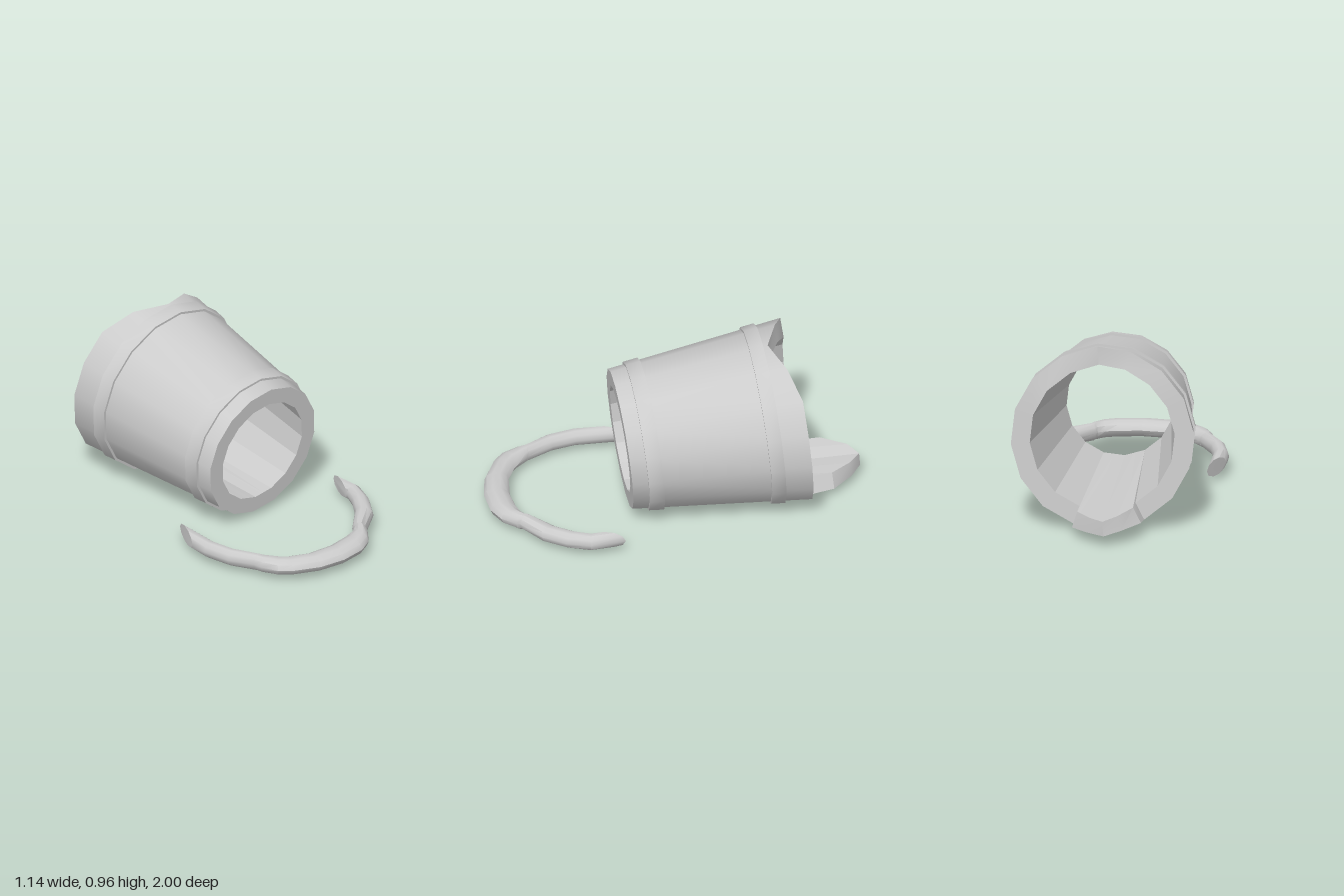
import * as THREE from 'three';
import { toCreasedNormals } from 'three/addons/utils/BufferGeometryUtils.js';

const material = new THREE.MeshStandardMaterial({ color: 0xcccccc });
const V = (x, y, z) => new THREE.Vector3(x, y, z);
const rad = THREE.MathUtils.degToRad;

// Skins a list of cross-sections; `around` closes the list, `tube` closes each section and caps the ends.
function loft(sections, { around = false, tube = false, crease = 32 }) {
  const pos = [];
  const tri = (...pts) => pts.forEach((p) => pos.push(p.x, p.y, p.z));
  const n = sections.length, m = sections[0].length;
  for (let i = 0; i < (around ? n : n - 1); i++) {
    const a = sections[i], b = sections[(i + 1) % n];
    for (let j = 0; j < (tube ? m : m - 1); j++) {
      const k = (j + 1) % m;
      tri(a[j], b[j], b[k]);
      tri(a[j], b[k], a[k]);
    }
  }
  if (tube) {
    const s = sections[0], e = sections[n - 1];
    for (let j = 1; j < m - 1; j++) {
      tri(s[0], s[j], s[j + 1]);
      tri(e[0], e[j + 1], e[j]);
    }
  }
  const geometry = new THREE.BufferGeometry();
  geometry.setAttribute('position', new THREE.Float32BufferAttribute(pos, 3));
  return toCreasedNormals(geometry, rad(crease));
}

function part(name, geometry) {
  const mesh = new THREE.Mesh(geometry, material);
  mesh.name = name;
  return mesh;
}

// Bucket sizes, measured along its own axis
const LENGTH = 0.95, SMALL = 0.377, WIDE = 0.488;
const outerRadius = (y) => SMALL + (WIDE - SMALL) * (y / LENGTH);

function createBucket() {
  const bucket = new THREE.Group();
  bucket.name = 'bucket';

  // How far the rim is cut back (top notch) or extended (tongue), by angle
  const rim = new Map([
    [0, -0.12], [22.5, -0.05], [337.5, -0.05],
    [157.4, 0], [157.5, 0.14], [168.75, 0.25], [180, 0.31],
    [191.25, 0.26], [202.5, 0.125], [202.6, 0],
  ]);
  for (let i = 0; i < 16; i++) if (!rim.has(i * 22.5)) rim.set(i * 22.5, 0);
  const angles = [...rim.keys()].sort((a, b) => a - b);

  const shell = [], lining = [];
  for (const deg of angles) {
    const ext = rim.get(deg), a = rad(deg);
    const flat = deg === 168.75 || deg === 191.25 ? Math.cos(rad(11.25)) : 1;
    const at = (r, y) => V(Math.sin(a) * r * flat, y, Math.cos(a) * r * flat);
    const end = LENGTH + ext;
    const ro = outerRadius(Math.min(end, LENGTH)) - 0.07 * Math.max(ext, 0);
    const innerSmall = at(0.287, 0), innerWide = at(0.387 + 0.1 * Math.min(ext, 0), end);
    shell.push([innerSmall, at(SMALL, 0), at(ro, end), innerWide]);
    lining.push([innerWide, innerSmall]);
  }
  bucket.add(part('bucketShell', loft(shell, { around: true })));
  bucket.add(part('bucketLining', loft(lining, { around: true, crease: 5 })));

  // Two hoops around the staves
  [['lowerHoop', 0.085, 0.165], ['upperHoop', 0.73, 0.805]].forEach(([name, y0, y1]) => {
    const profile = [[-0.01, y0], [0.013, y0], [0.013, y1], [-0.01, y1]]
      .map(([d, y]) => new THREE.Vector2(outerRadius(y) + d, y));
    bucket.add(part(name, toCreasedNormals(new THREE.LatheGeometry(profile, 16), rad(32))));
  });

  // Lay the bucket on its side
  bucket.position.set(0.005, 0.402, 0.29);
  bucket.quaternion.setFromUnitVectors(V(0, 1, 0), V(0.085, 0.084, -0.94).normalize());
  return bucket;
}

function createHandle() {
  // Outer x, z and inner x, z along the bail, with cut ends and a wider grip
  const outline = [
    [-0.555, 0.3, -0.455, 0.12], [-0.57, 0.4, -0.485, 0.4], [-0.55, 0.55, -0.47, 0.53],
    [-0.49, 0.68, -0.415, 0.68], [-0.485, 0.73, -0.405, 0.69], [-0.455, 0.82, -0.36, 0.75],
    [-0.4, 0.88, -0.33, 0.78], [-0.27, 0.96, -0.24, 0.835], [-0.13, 1, -0.1, 0.865],
    [0.01, 1, 0.03, 0.86], [0.1, 0.965, 0.09, 0.85], [0.165, 0.9, 0.13, 0.83],
    [0.175, 0.88, 0.14, 0.81], [0.32, 0.8, 0.27, 0.71], [0.41, 0.69, 0.345, 0.62],
    [0.465, 0.57, 0.385, 0.55], [0.465, 0.38, 0.39, 0.54],
  ];
  const sections = outline.map(([ox, oz, ix, iz]) => Array.from({ length: 10 }, (_, j) => {
    const t = (j / 10) * Math.PI * 2, w = (1 + Math.cos(t)) / 2;
    return V(ix + (ox - ix) * w, 0.07 + 0.047 * Math.sin(t), iz + (oz - iz) * w);
  }));
  return part('handle', loft(sections, { tube: true, crease: 40 }));
}

export function createModel() {
  const model = new THREE.Group();
  model.name = 'brokenBucket';
  model.add(createBucket(), createHandle());
  return model;
}
